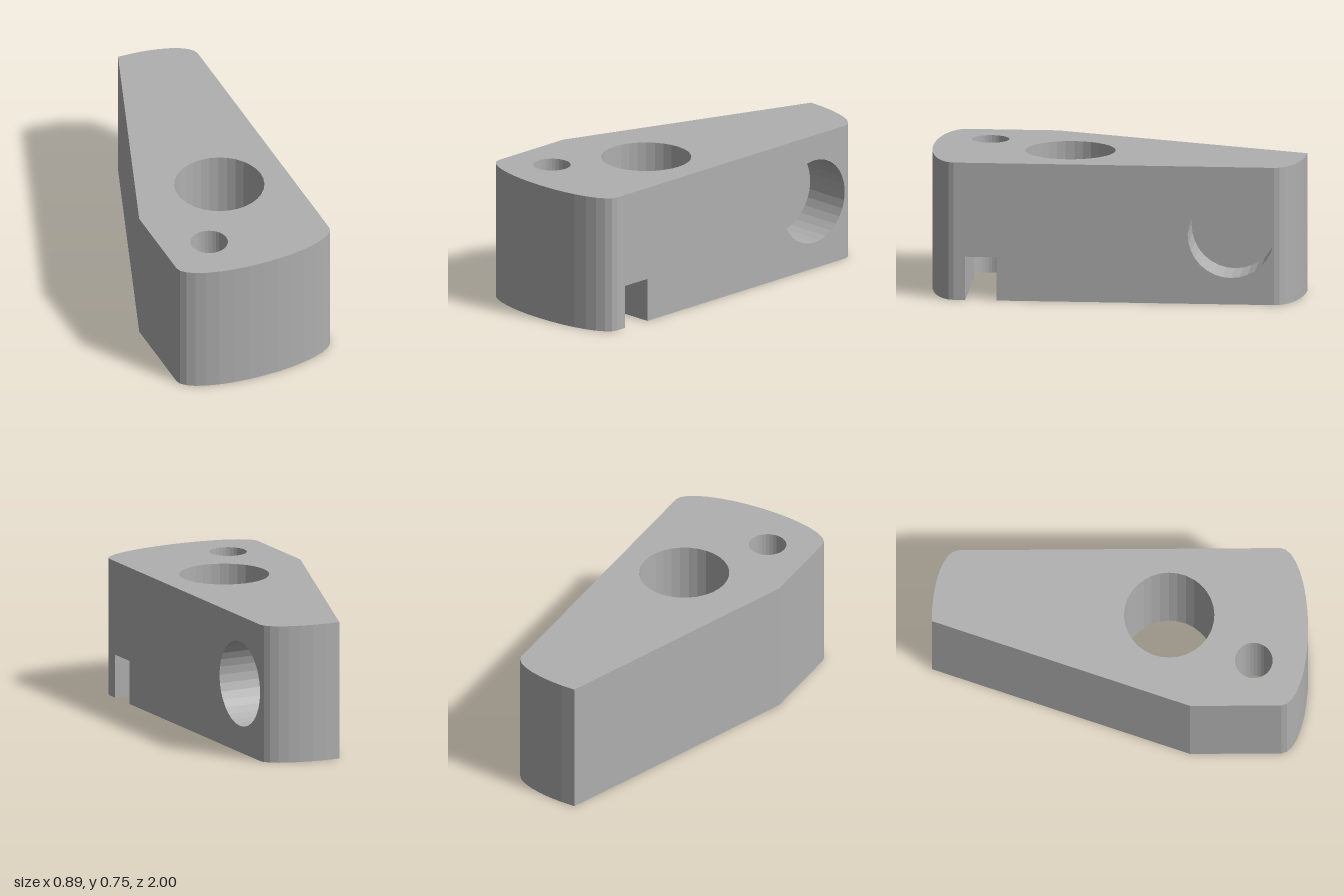
import * as THREE from 'three';

const H = 0.745, W = 0.445, CORNER = 0.855;      // height, half width, where the rounded ends start
const SLOT_H = 0.235, SLOT_HALF = 0.083;
const PIN = { x: -0.19, y: -0.71, r: 0.1 };      // plan coordinates: x, y = -z
const BORE = { x: 0.07, y: -0.262, r: 0.24 };
const POCKET = { z: -0.624, y: 0.374, r: 0.2305, depth: 0.26 };

const V = (x, y) => new THREE.Vector2(x, y);

// points on an elliptical arc, both ends included
function arc(cx, cy, rx, ry, from, to, n) {
  return Array.from({ length: n + 1 }, (_, i) => {
    const a = from + (to - from) * i / n;
    return V(cx + rx * Math.cos(a), cy + ry * Math.sin(a));
  });
}

// clockwise closed circle, so its wall faces inward
const hole = (c) => arc(c.x, c.y, c.r, c.r, 0, -2 * Math.PI, 32);

// vertical wall along a plan polyline, facing to its right
function wall(points, y0, y1) {
  const pos = [];
  for (let i = 0; i < points.length - 1; i++) {
    const a = points[i], b = points[i + 1];
    const a0 = [a.x, y0, -a.y], a1 = [a.x, y1, -a.y];
    const b0 = [b.x, y0, -b.y], b1 = [b.x, y1, -b.y];
    pos.push(...a0, ...b0, ...b1, ...a0, ...b1, ...a1);
  }
  const g = new THREE.BufferGeometry();
  g.setAttribute('position', new THREE.Float32BufferAttribute(pos, 3));
  g.computeVertexNormals();
  return g;
}

function flat(points, holes = []) {
  const shape = new THREE.Shape(points);
  shape.holes = holes.map((h) => new THREE.Path(h.slice(0, -1)));
  return new THREE.ShapeGeometry(shape);
}

// horizontal face at height y, facing up or down
function cap(points, holes, y, down = false) {
  const g = flat(points, holes).rotateX(-Math.PI / 2).translate(0, y, 0);
  if (down) {
    g.index.array.reverse();
    g.computeVertexNormals();
  }
  return g;
}

export function createModel() {
  const group = new THREE.Group();
  group.name = 'taperedBlock';
  const grey = new THREE.MeshStandardMaterial({ color: 0xb0b0b0, flatShading: true });
  grey.name = 'plain grey';
  const add = (name, geometry) => {
    const mesh = new THREE.Mesh(geometry, grey);
    mesh.name = name;
    group.add(mesh);
  };

  // plan outline, counter-clockwise, from the back of the straight side to its front
  const bulge = 1 - CORNER;
  const outline = [
    ...arc(0.045, CORNER, W - 0.045, bulge, 0, Math.PI / 2, 8),
    V(-W, -0.37),
    ...arc(0, -CORNER, W, bulge, -Math.PI, 0, 16),
  ];

  // keyhole path: in along the slot, round the pin hole, and out again
  const a = Math.asin(SLOT_HALF / PIN.r);
  const slotFront = V(W, PIN.y - SLOT_HALF), slotBack = V(W, PIN.y + SLOT_HALF);
  const keyhole = [
    slotFront,
    ...arc(PIN.x, PIN.y, PIN.r, PIN.r, -a, a - 2 * Math.PI, 24),
    slotBack,
  ];

  add('topFace', cap(outline, [hole(BORE), hole(PIN)], H));
  add('bottomFace', cap([...outline, ...keyhole], [hole(BORE)], 0, true));
  add('outerWall', wall(outline, 0, H));

  // straight side with the slot mouth and the round pocket mouth
  const side = flat([
    V(-CORNER, 0), V(slotFront.y, 0), V(slotFront.y, SLOT_H), V(slotBack.y, SLOT_H),
    V(slotBack.y, 0), V(CORNER, 0), V(CORNER, H), V(-CORNER, H),
  ], [hole({ x: -POCKET.z, y: POCKET.y, r: POCKET.r })]);
  add('straightSide', side.rotateY(Math.PI / 2).translate(W, 0, 0));

  // vertical holes and the slot
  add('mainBore', wall(hole(BORE), 0, H));
  add('pinHole', wall(hole(PIN), SLOT_H, H));
  add('slotWalls', wall(keyhole, 0, SLOT_H));
  const ceiling = [slotFront, slotBack, ...arc(PIN.x, PIN.y, PIN.r, PIN.r, a, -a, 10)];
  add('slotCeiling', cap(ceiling, [], SLOT_H, true));

  // blind round pocket in the straight side
  const floorX = W - POCKET.depth;
  add('pocketWall', wall(hole({ x: 0, y: 0, r: POCKET.r }), 0, POCKET.depth)
    .rotateZ(-Math.PI / 2).translate(floorX, POCKET.y, POCKET.z));
  add('pocketFloor', new THREE.CircleGeometry(POCKET.r, 32)
    .rotateY(Math.PI / 2).translate(floorX, POCKET.y, POCKET.z));

  return group;
}
